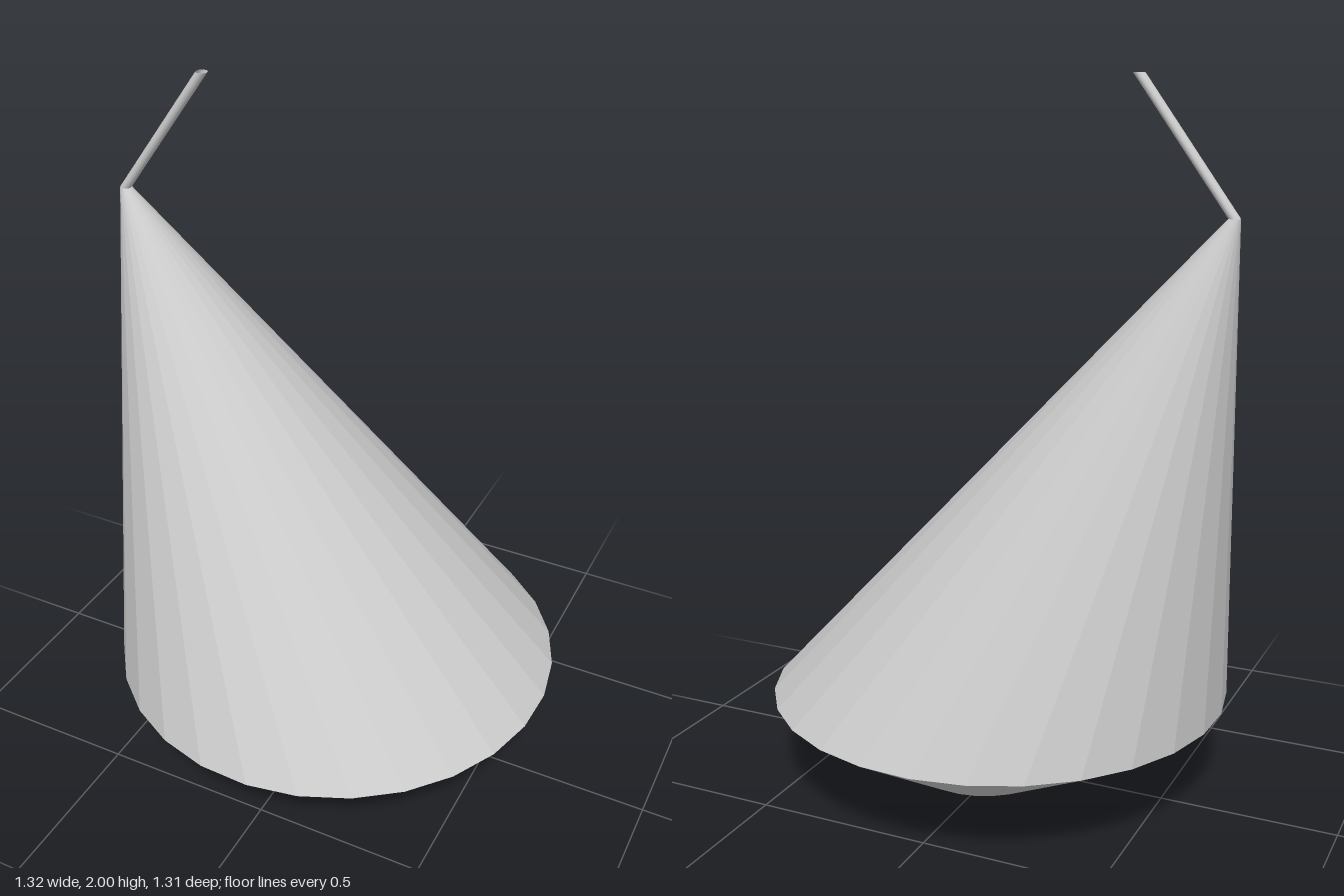
import * as THREE from 'three';

// Horizontal ring sections, bottom to top: centre x, height, radius
const base = { x: 0.05, y: 0, r: 0.218 };
const rim = { x: 0.002, y: 0.27, r: 0.657 };
const neck = { x: -0.649, y: 1.64, r: 0.016 };
const tip = { x: -0.386, y: 2, r: 0.016 };

export function createModel() {
  const group = new THREE.Group();
  const material = new THREE.MeshStandardMaterial({
    color: 0xcccccc, flatShading: true, side: THREE.DoubleSide,
  });

  // Open, slanted tube between two horizontal rings
  function slantedSection(name, low, high) {
    const h = high.y - low.y;
    const geo = new THREE.CylinderGeometry(high.r, low.r, h, 28, 1, true, 0.07);
    geo.translate(0, h / 2, 0);
    const pos = geo.attributes.position;
    for (let i = 0; i < pos.count; i++) {
      const t = pos.getY(i) / h;
      pos.setX(i, pos.getX(i) + THREE.MathUtils.lerp(low.x, high.x, t));
    }
    geo.translate(0, low.y, 0);
    geo.computeVertexNormals();
    const mesh = new THREE.Mesh(geo, material);
    mesh.name = name;
    group.add(mesh);
  }

  slantedSection('lowerBowl', base, rim);
  slantedSection('leaningCone', rim, neck);
  slantedSection('stem', neck, tip);
  return group;
}
